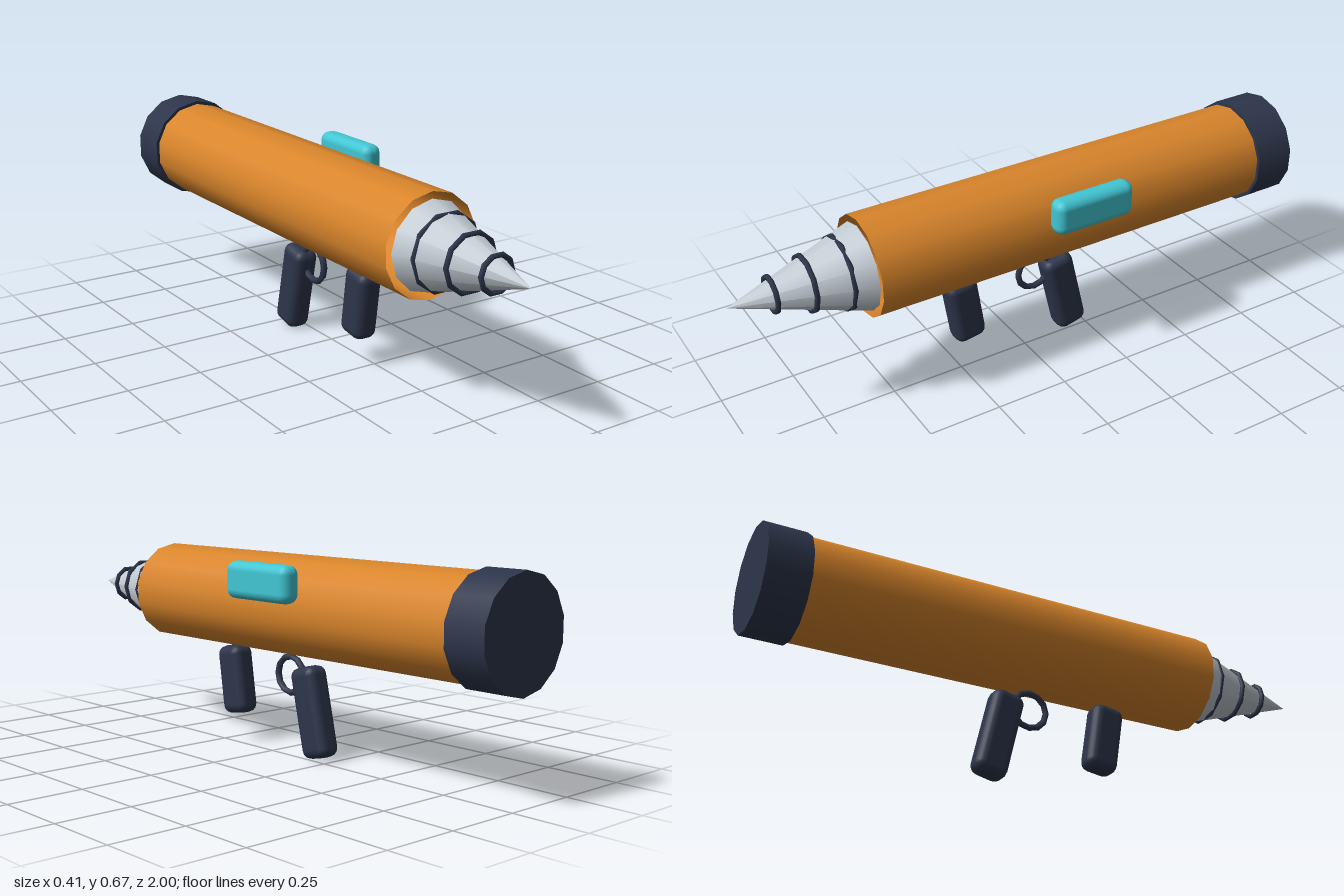
import * as THREE from 'three';
import { RoundedBoxGeometry } from 'three/addons/geometries/RoundedBoxGeometry.js';

const AXIS_X = -0.033, AXIS_Y = 0.505;

function material(name, color) {
  const m = new THREE.MeshStandardMaterial({ color });
  m.name = name;
  return m;
}

export function createModel() {
  const group = new THREE.Group();
  const orange = material('orange', 0xd9852b);
  orange.side = THREE.DoubleSide;
  const navy = material('navy', 0x2d354b);
  const silver = material('silver', 0xc3ccd4);
  const teal = material('teal', 0x41c7d4);

  function add(name, geometry, mat, x, y, z, tilt = 0) {
    const mesh = new THREE.Mesh(geometry, mat);
    mesh.name = name;
    mesh.position.set(x, y, z);
    mesh.rotation.x = tilt;
    group.add(mesh);
    return mesh;
  }

  // Cylinder or cone lying along z between two stations
  function along(name, rFront, rBack, zBack, zFront, sides, mat, open = false) {
    const g = new THREE.CylinderGeometry(rFront, rBack, zFront - zBack, sides, 1, open);
    g.rotateX(Math.PI / 2);
    return add(name, g, mat, AXIS_X, AXIS_Y, (zFront + zBack) / 2);
  }

  // Open launch tube, closed by the rear cap
  along('tube', 0.166, 0.166, -0.87, 0.572, 14, orange, true);
  along('rearCap', 0.177, 0.177, -1, -0.86, 14, navy);

  // Pointed tip with three ridges
  along('tipCone', 0, 0.143, 0.57, 1, 12, silver);
  for (const [z, r] of [[0.64, 0.118], [0.75, 0.089], [0.86, 0.056]]) {
    add('tipRing', new THREE.TorusGeometry(r, 0.0085, 6, 10), navy, AXIS_X, AXIS_Y, z);
  }

  // Grips leaning backwards
  add('frontGrip', new RoundedBoxGeometry(0.084, 0.235, 0.112, 2, 0.03), navy, AXIS_X, 0.222, 0.218, 0.15);
  add('rearGrip', new RoundedBoxGeometry(0.084, 0.3, 0.112, 2, 0.03), navy, AXIS_X, 0.163, -0.168, 0.23);

  // Trigger guard ring in the side plane
  const guard = new THREE.TorusGeometry(0.061, 0.011, 6, 12);
  guard.rotateY(Math.PI / 2);
  add('triggerGuard', guard, navy, AXIS_X, 0.272, -0.055);

  // Sight on the left side
  add('sight', new RoundedBoxGeometry(0.071, 0.12, 0.287, 2, 0.03), teal, 0.17, 0.598, -0.143);

  return group;
}
